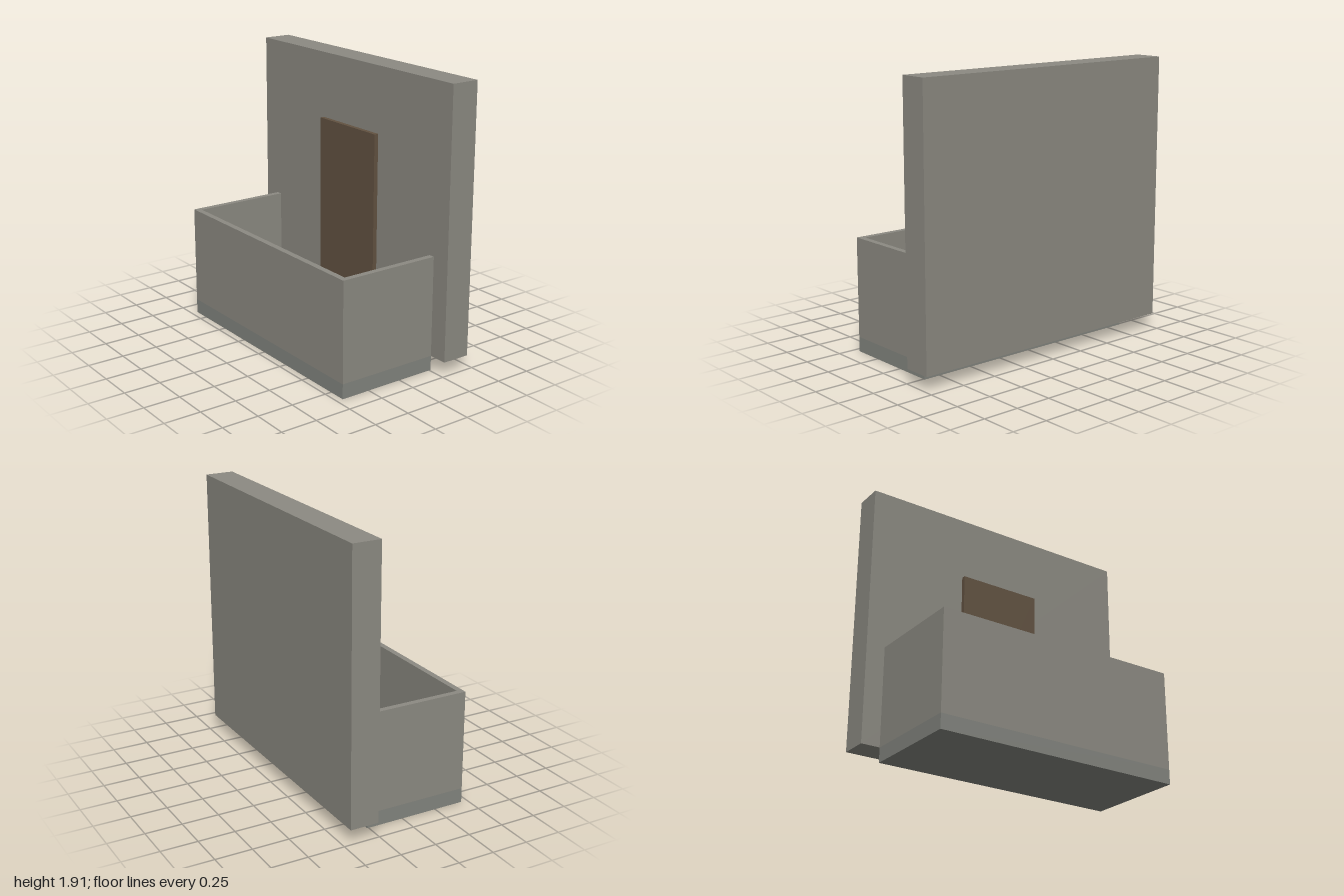
import * as THREE from 'three';

const material = (color) => new THREE.MeshStandardMaterial({ color });

// Box given by its minimum and maximum corners
function block(name, [x0, y0, z0], [x1, y1, z1], mat) {
  const mesh = new THREE.Mesh(new THREE.BoxGeometry(x1 - x0, y1 - y0, z1 - z0), mat);
  mesh.position.set((x0 + x1) / 2, (y0 + y1) / 2, (z0 + z1) / 2);
  mesh.name = name;
  return mesh;
}

export function createModel() {
  const model = new THREE.Group();
  model.name = 'balcony';

  const plaster = material(0x8c8a82);
  const concrete = material(0x82847e);
  const wood = material(0x625241);

  const halfWidth = 0.87, thickness = 0.04;
  const wallFront = -0.26, front = 0.455;
  const floorTop = 0.1, railTop = 0.78;

  // Building wall, door and floor slab
  model.add(block('wall', [-1, floorTop, -0.455], [1, 1.91, wallFront], plaster));
  model.add(block('door', [-0.295, floorTop, wallFront], [0.295, 1.46, -0.23], wood));
  model.add(block('floorSlab', [-halfWidth, 0, wallFront], [halfWidth, floorTop, front], concrete));

  // U-shaped parapet, drawn in plan (shape y = -z) and extruded upwards
  const inner = halfWidth - thickness;
  const plan = new THREE.Shape([
    [-halfWidth, -wallFront], [-halfWidth, -front], [halfWidth, -front], [halfWidth, -wallFront],
    [inner, -wallFront], [inner, thickness - front], [-inner, thickness - front], [-inner, -wallFront],
  ].map(([x, y]) => new THREE.Vector2(x, y)));
  const parapetGeometry = new THREE.ExtrudeGeometry(plan, { depth: railTop - floorTop, bevelEnabled: false });
  parapetGeometry.rotateX(-Math.PI / 2);
  const parapet = new THREE.Mesh(parapetGeometry, plaster);
  parapet.position.y = floorTop;
  parapet.name = 'parapet';
  model.add(parapet);

  return model;
}
